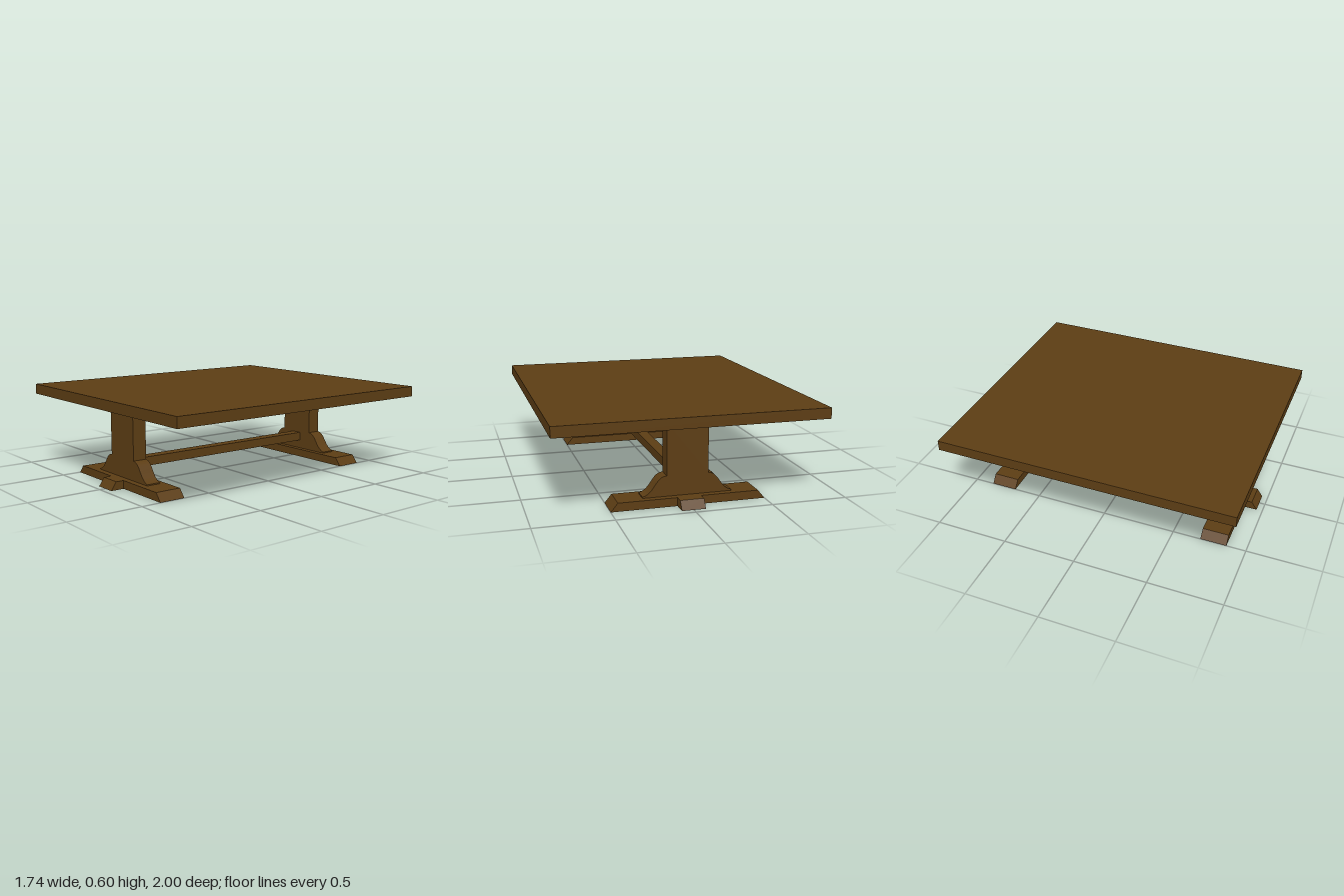
import * as THREE from 'three';

const wood = new THREE.MeshStandardMaterial({ color: 0x5c3d14, flatShading: true });

function addPart(parent, name, geometry, x = 0, y = 0, z = 0) {
  const mesh = new THREE.Mesh(geometry, wood);
  mesh.name = name;
  mesh.position.set(x, y, z);
  parent.add(mesh);
  return mesh;
}

// Extrude an XY outline along +z
function slab(shape, depth) {
  return new THREE.ExtrudeGeometry(shape, { depth, bevelEnabled: false, curveSegments: 12 });
}

function polygon(points) {
  return new THREE.Shape(points.map(([x, y]) => new THREE.Vector2(x, y)));
}

// Post outline with an S-curved flare on both sides of its base
function postShape() {
  const s = new THREE.Shape();
  s.moveTo(-0.29, 0.055);
  s.lineTo(0.29, 0.055);
  s.lineTo(0.29, 0.063);
  s.bezierCurveTo(0.21, 0.08, 0.21, 0.185, 0.135, 0.187);
  s.lineTo(0.135, 0.525);
  s.lineTo(-0.135, 0.525);
  s.lineTo(-0.135, 0.187);
  s.bezierCurveTo(-0.21, 0.185, -0.21, 0.08, -0.29, 0.063);
  return s;
}

// One trestle, built for the front end
function createTrestle() {
  const trestle = new THREE.Group();
  addPart(trestle, 'post', slab(postShape(), 0.095), 0, 0, 0.73);

  // Cross foot with sloped ends
  const foot = polygon([[-0.5, 0], [0.5, 0], [0.455, 0.055], [-0.455, 0.055]]);
  addPart(trestle, 'foot', slab(foot, 0.178), 0, 0, 0.69);

  // Short outward toe: side outline turned so its length runs along +z
  const toe = polygon([[-0.96, 0], [-0.866, 0], [-0.866, 0.055], [-0.922, 0.055]]);
  const toeGeometry = slab(toe, 0.154).translate(0, 0, -0.077).rotateY(Math.PI / 2);
  addPart(trestle, 'toe', toeGeometry);
  return trestle;
}

export function createModel() {
  const table = new THREE.Group();
  table.name = 'trestleTable';

  addPart(table, 'tableTop', new THREE.BoxGeometry(1.744, 0.07, 2), 0, 0.56, 0);
  addPart(table, 'stretcher', new THREE.BoxGeometry(0.075, 0.06, 1.47), 0, 0.145, 0);

  // Matching trestles at both ends
  ['frontTrestle', 'backTrestle'].forEach((name, i) => {
    const trestle = createTrestle();
    trestle.name = name;
    trestle.rotation.y = i * Math.PI;
    table.add(trestle);
  });
  return table;
}
